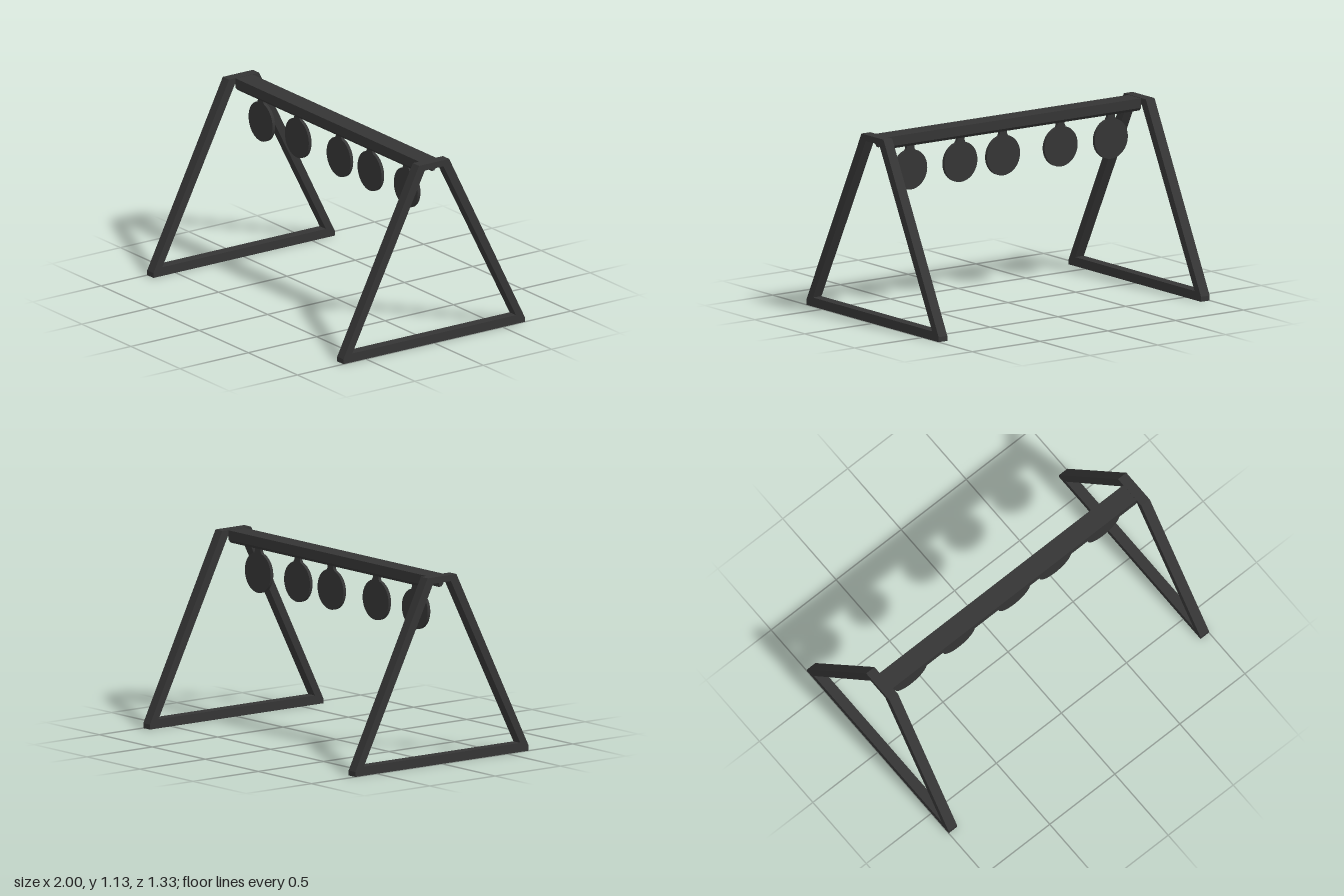
import * as THREE from 'three';

// Closed shape from [x, y] pairs
const outline = (pts) => pts.map(([x, y]) => new THREE.Vector2(x, y));

// Mirror a half profile across the vertical axis
const mirrored = (half) => outline([...half, ...half.map(([x, y]) => [-x, y]).reverse()]);

export function createModel() {
  const group = new THREE.Group();
  const steel = new THREE.MeshStandardMaterial({ color: 0x353535 });
  steel.name = 'dark steel';

  const add = (name, geometry, x = 0, y = 0, z = 0) => {
    const mesh = new THREE.Mesh(geometry, steel);
    mesh.name = name;
    mesh.position.set(x, y, z);
    group.add(mesh);
    return mesh;
  };

  // Extrude a shape drawn in the z-y plane along x, centred
  const extrudeAlongX = (shape, length) =>
    new THREE.ExtrudeGeometry(shape, { depth: length, bevelEnabled: false })
      .translate(0, 0, -length / 2)
      .rotateY(Math.PI / 2);

  // A-shaped end frames
  const frame = new THREE.Shape(mirrored([[0.663, 0], [0.663, 0.03], [0.11, 1.135]]));
  frame.holes.push(new THREE.Path(mirrored([[0.598, 0.055], [0.068, 1.097]])));
  const frameGeometry = extrudeAlongX(frame, 0.064);
  add('leftEndFrame', frameGeometry, 0.968);
  add('rightEndFrame', frameGeometry, -0.968);

  // Top rail: channel with chamfered lower edges and a slot underneath
  const rail = new THREE.Shape(mirrored([
    [0.062, 1.133], [0.062, 1.075], [0.046, 1.057], [0.028, 1.057], [0.028, 1.105],
  ]));
  add('topRail', extrudeAlongX(rail, 1.872));

  // Hanging round plates: disc and neck in one outline
  const radius = 0.122, neck = 0.026;
  const start = Math.PI / 2 + Math.asin(0.034 / radius);
  const sweep = 2 * Math.PI - 2 * Math.asin(0.034 / radius);
  const points = [];
  for (let i = 0; i <= 48; i++) {
    const a = start + (sweep * i) / 48;
    points.push([radius * Math.cos(a), radius * Math.sin(a)]);
  }
  points.push([neck, 0.132], [neck, 0.208], [-neck, 0.208], [-neck, 0.132]);
  const plate = new THREE.ExtrudeGeometry(new THREE.Shape(outline(points)), {
    depth: 0.02, bevelEnabled: false,
  }).translate(0, 0, -0.01);
  const hanger = new THREE.BoxGeometry(0.052, 0.05, 0.04);

  [-0.755, -0.385, 0.04, 0.355, 0.725].forEach((x, i) => {
    add(`targetPlate${i + 1}`, plate, x, 0.902, 0);
    add(`plateHanger${i + 1}`, hanger, x, 1.084, 0);
  });

  return group;
}
